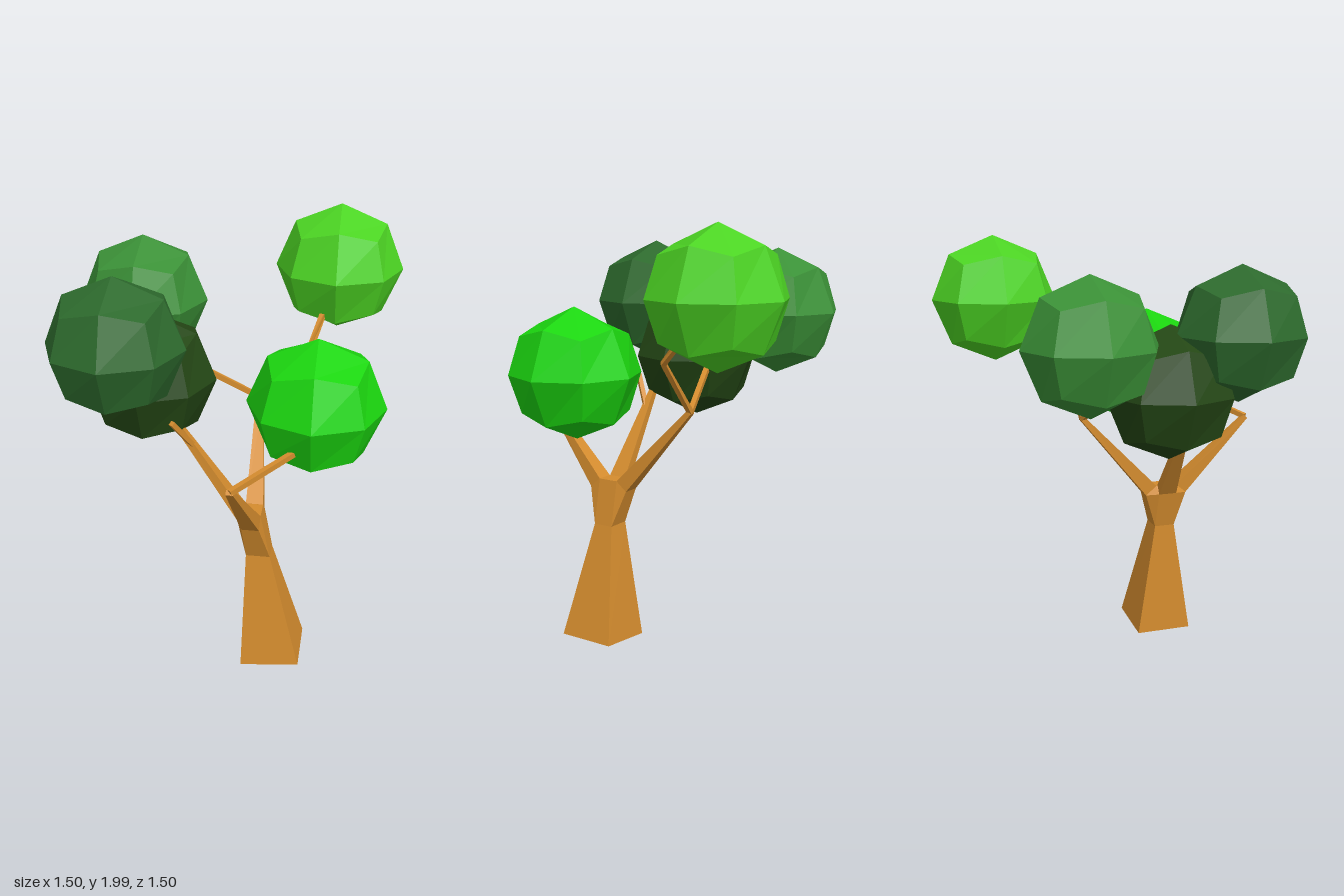
import * as THREE from 'three';
import { ConvexGeometry } from 'three/addons/geometries/ConvexGeometry.js';

const V = (x, y, z) => new THREE.Vector3(x, y, z);
const UP = V(0, 1, 0);

// Four corners of a w x h rectangle at p facing dir, w running along ref x dir
function ring(p, dir, w, h = w, ref = UP) {
  const n = dir.clone().normalize();
  const u = ref.clone().cross(n).normalize();
  const v = n.clone().cross(u);
  return [[-1, -1], [1, -1], [1, 1], [-1, 1]].map(([a, b]) =>
    p.clone().addScaledVector(u, a * w / 2).addScaledVector(v, b * h / 2));
}

// Four-sided solid through a list of rings, capped at both ends
function loft(rings) {
  const pos = [];
  const quad = (a, b, c, d) => [a, b, c, a, c, d].forEach((p) => pos.push(p.x, p.y, p.z));
  for (let r = 0; r < rings.length - 1; r++) {
    const a = rings[r], b = rings[r + 1];
    for (let i = 0; i < 4; i++) {
      const j = (i + 1) % 4;
      quad(a[i], a[j], b[j], b[i]);
    }
  }
  const s = rings[0], e = rings[rings.length - 1];
  quad(s[3], s[2], s[1], s[0]);
  quad(e[0], e[1], e[2], e[3]);
  const geo = new THREE.BufferGeometry();
  geo.setAttribute('position', new THREE.Float32BufferAttribute(pos, 3));
  geo.computeVertexNormals();
  return geo;
}

// Twig of constant thickness along a bent path, mitred at the bends
function twig(points, size) {
  return loft(points.map((p, i) => {
    const dir = V(0, 0, 0);
    if (i > 0) dir.add(p.clone().sub(points[i - 1]).normalize());
    if (i < points.length - 1) dir.add(points[i + 1].clone().sub(p).normalize());
    return ring(p, dir, size);
  }));
}

// Rounded ball made from a cube with each side split in four
function ball(radius) {
  const geo = new THREE.BoxGeometry(1, 1, 1, 2, 2, 2);
  const p = geo.attributes.position, v = V(0, 0, 0);
  for (let i = 0; i < p.count; i++) {
    v.fromBufferAttribute(p, i).setLength(radius);
    p.setXYZ(i, v.x, v.y, v.z);
  }
  geo.computeVertexNormals();
  return geo;
}

export function createModel() {
  const tree = new THREE.Group();
  tree.name = 'tree';
  const material = (color) => new THREE.MeshStandardMaterial({ color, flatShading: true });
  const bark = material(0xd48c2e);
  const add = (name, geo, mat = bark) => {
    const mesh = new THREE.Mesh(geo, mat);
    mesh.name = name;
    tree.add(mesh);
    return mesh;
  };

  // Leaning, tapered trunk
  const zAxis = V(0, 0, 1);
  const base = ring(V(0.245, 0.02, 0.32), V(-0.11, 1, 0), 0.273, 0.275, zAxis);
  const neck = ring(V(0.175, 0.57, 0.32), UP, 0.11, 0.1, zAxis);
  add('trunk', loft([base, neck]));

  // Fork where the three limbs leave the trunk
  const frontRoot = ring(V(0.145, 0.763, 0.398), V(0, 0.77, 0.63), 0.08, 0.07);
  const backRoot = ring(V(0.145, 0.763, 0.242), V(0, 0.77, -0.63), 0.08, 0.07);
  const sideRoot = ring(V(0.095, 0.767, 0.32), V(-0.8, 0.6, 0), 0.09, 0.05);
  add('fork', new ConvexGeometry([...neck, ...frontRoot, ...backRoot, ...sideRoot]));

  // Tapered limbs
  const frontTip = V(0.1, 1.11, 0.735), backTip = V(0.12, 1.15, -0.108);
  add('frontLimb', loft([frontRoot, ring(frontTip, V(-0.05, 0.7, 0.7), 0.032, 0.022)]));
  add('backLimb', loft([backRoot, ring(backTip, V(-0.03, 0.75, -0.65), 0.034, 0.024)]));
  add('sideLimb', loft([sideRoot, ring(V(-0.19, 1.18, 0.31), V(-0.55, 0.83, 0), 0.026, 0.03)]));

  // Thin twigs reaching into the foliage
  add('frontTwig', twig([frontTip, V(0.38, 1.22, 0.5)], 0.024));
  add('backTwigLeft', twig([backTip, V(0.345, 1.4, -0.115), V(0.4, 1.55, -0.27)], 0.024));
  add('backTwigRight', twig([backTip, V(-0.15, 1.32, -0.03)], 0.024));
  add('sideTwig', twig([V(-0.13, 1.1, 0.32), V(-0.2, 1.24, 0.41)], 0.022));

  // Foliage balls
  const leafGeo = ball(0.3);
  [
    ['foliageBackLeft', 0.45, 1.7, -0.45, 0x4cd423],
    ['foliageFrontLeft', 0.41, 1.33, 0.32, 0x1bd60f],
    ['foliageFrontRight', -0.42, 1.6, 0.45, 0x2d6a2d],
    ['foliageBackRight', -0.45, 1.575, -0.24, 0x3b9137],
    ['foliageMiddleRight', -0.345, 1.345, 0.155, 0x244715],
  ].forEach(([name, x, y, z, color]) => add(name, leafGeo, material(color)).position.set(x, y, z));

  return tree;
}
